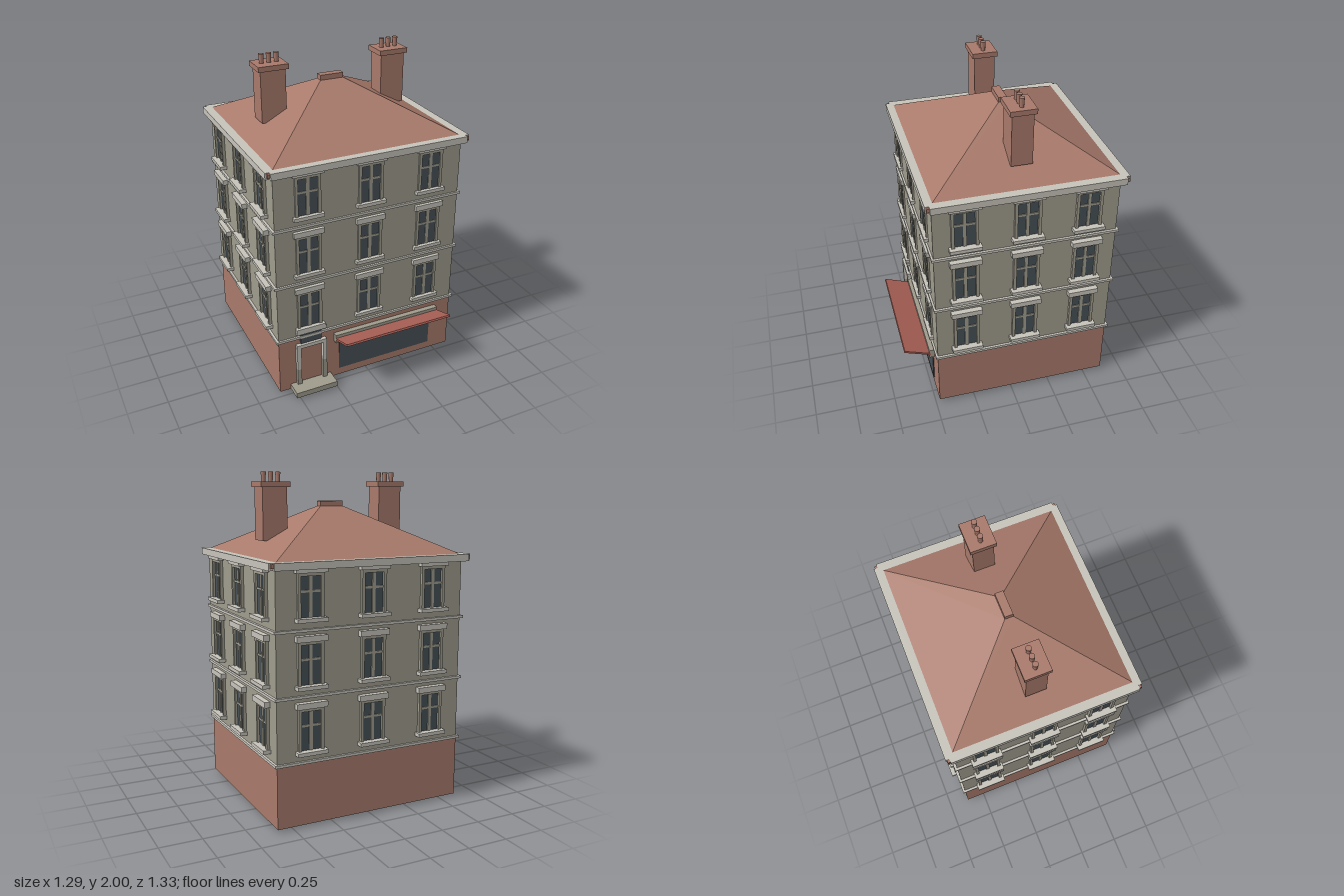
import * as THREE from 'three';

const mat = (name, color) => {
  const m = new THREE.MeshStandardMaterial({ color });
  m.name = name;
  return m;
};

export function createModel() {
  const root = new THREE.Group();
  root.name = 'townhouse';
  const brick = mat('brick', 0xa87a6b);
  const wall = mat('grey render', 0x9f9c8d);
  const trim = mat('pale trim', 0xc6c3ba);
  const glass = mat('dark glass', 0x465056);
  const red = mat('red awning', 0xaa6157);

  // Box given by its min and max on each axis
  const box = (parent, name, material, x0, x1, y0, y1, z0, z1) => {
    const mesh = new THREE.Mesh(new THREE.BoxGeometry(x1 - x0, y1 - y0, z1 - z0), material);
    mesh.position.set((x0 + x1) / 2, (y0 + y1) / 2, (z0 + z1) / 2);
    mesh.name = name;
    parent.add(mesh);
    return mesh;
  };

  const W = 0.6, F = 0.475, B = -0.62, MID = (F + B) / 2;

  // Main storeys
  box(root, 'groundFloor', brick, -W, W, 0.02, 0.385, B, F);
  box(root, 'floorSlab', wall, -W, W, 0.017, 0.02, B, F);
  box(root, 'upperFloors', wall, -W, W, 0.385, 1.5, B, F);
  for (const y of [0.385, 0.765, 1.138]) {
    box(root, 'stringCourse', trim, -W - 0.015, W + 0.015, y, y + 0.016, B - 0.015, F + 0.012);
  }

  // Cornice: four bars with notched corners
  box(root, 'frontCornice', trim, -0.62, 0.62, 1.482, 1.523, 0.45, 0.512);
  box(root, 'backCornice', trim, -0.62, 0.62, 1.482, 1.523, -0.666, -0.6);
  for (const s of [-1, 1]) {
    const a = s * 0.585, b = s * 0.645;
    box(root, 'sideCornice', trim, Math.min(a, b), Math.max(a, b), 1.482, 1.523, -0.642, 0.488);
    for (const z of [-0.65, 0.496]) {
      box(root, 'corniceCorner', brick, s * 0.628 - 0.008, s * 0.628 + 0.008, 1.495, 1.518, z - 0.008, z + 0.008);
    }
  }

  // Hipped roof: a box whose top corners move in to the ridge
  const roofGeo = new THREE.BoxGeometry(1, 1, 1);
  const p = roofGeo.attributes.position;
  for (let i = 0; i < p.count; i++) {
    const top = p.getY(i) > 0;
    const sx = Math.sign(p.getX(i)), sz = Math.sign(p.getZ(i));
    p.setXYZ(i, sx * (top ? 0.075 : 0.593), top ? 1.797 : 1.522, -0.075 + sz * (top ? 0.025 : 0.541));
  }
  roofGeo.computeVertexNormals();
  const roof = new THREE.Mesh(roofGeo, brick);
  roof.name = 'roof';
  root.add(roof);
  box(root, 'ridgeCap', brick, -0.075, 0.075, 1.79, 1.828, -0.1, -0.05);

  // Chimneys with three pots each
  const potGeo = new THREE.CylinderGeometry(0.017, 0.013, 0.058, 8);
  for (const s of [-1, 1]) {
    const chimney = new THREE.Group();
    chimney.name = 'chimney';
    chimney.position.set(s * 0.39, 0, -0.073);
    box(chimney, 'chimneyStack', brick, -0.078, 0.078, 1.6, 1.915, -0.063, 0.063);
    box(chimney, 'chimneyCap', brick, -0.093, 0.093, 1.913, 1.944, -0.077, 0.077);
    for (const x of [-0.046, 0, 0.046]) {
      const pot = new THREE.Mesh(potGeo, brick);
      pot.name = 'chimneyPot';
      pot.position.set(x, 1.971, 0);
      chimney.add(pot);
    }
    root.add(chimney);
  }

  // One sash window, facing +z, from its sill upward
  const makeWindow = () => {
    const g = new THREE.Group();
    g.name = 'window';
    box(g, 'pane', glass, -0.062, 0.062, 0.02, 0.255, 0, 0.004);
    box(g, 'mullion', wall, -0.01, 0.01, 0.02, 0.255, 0, 0.01);
    box(g, 'crossBar', wall, -0.062, 0.062, 0.16, 0.173, 0, 0.009);
    for (const s of [-1, 1]) box(g, 'jamb', wall, s * 0.07 - 0.009, s * 0.07 + 0.009, 0.02, 0.268, 0, 0.018);
    box(g, 'head', wall, -0.063, 0.063, 0.25, 0.268, 0, 0.018);
    box(g, 'sill', trim, -0.094, 0.094, 0, 0.022, 0, 0.045);
    box(g, 'lintel', trim, -0.094, 0.094, 0.268, 0.302, 0, 0.034);
    return g;
  };

  // Three rows of three windows on every face; the front ones are shallower
  const faces = [
    { name: 'frontWindows', pos: [0, 0, F], turn: 0, step: 0.395, depth: 0.6 },
    { name: 'backWindows', pos: [0, 0, B], turn: Math.PI, step: 0.395, depth: 1 },
    { name: 'leftWindows', pos: [W, 0, MID], turn: Math.PI / 2, step: 0.365, depth: 1 },
    { name: 'rightWindows', pos: [-W, 0, MID], turn: -Math.PI / 2, step: 0.365, depth: 1 },
  ];
  for (const f of faces) {
    const side = new THREE.Group();
    side.name = f.name;
    side.position.set(...f.pos);
    side.rotation.y = f.turn;
    side.scale.z = f.depth;
    for (let row = 0; row < 3; row++) {
      for (let col = -1; col <= 1; col++) {
        const w = makeWindow();
        w.position.set(col * f.step, 0.44 + row * 0.377, 0);
        side.add(w);
      }
    }
    root.add(side);
  }

  // Shop front
  box(root, 'shopWindow', glass, -0.2, 0.452, 0.07, 0.3, F, F + 0.006);
  box(root, 'awningBox', wall, -0.235, 0.49, 0.292, 0.35, F, F + 0.032);
  const awning = new THREE.Mesh(new THREE.BoxGeometry(0.725, 0.013, 0.175), red);
  awning.name = 'awning';
  awning.position.set(0.1275, 0.349, 0.58);
  awning.rotation.x = -0.36;
  root.add(awning);

  // Doorway: step, two-tone posts, beam, fanlight and hood
  box(root, 'doorStep', wall, -0.53, -0.258, 0.018, 0.054, F - 0.005, 0.576);
  for (const [x0, x1, split] of [[-0.49, -0.463, 0.165], [-0.318, -0.292, 0.19]]) {
    box(root, 'postBase', wall, x0, x1, 0, split, F - 0.01, F + 0.025);
    box(root, 'postTop', trim, x0, x1, split, 0.323, F - 0.01, F + 0.025);
  }
  box(root, 'doorBeam', trim, -0.488, -0.294, 0.32, 0.344, F - 0.01, F + 0.025);
  box(root, 'fanlight', glass, -0.46, -0.322, 0.344, 0.422, F, F + 0.009);
  box(root, 'fanlightBar', trim, -0.46, -0.322, 0.385, 0.4, F, F + 0.013);
  box(root, 'doorHood', trim, -0.49, -0.292, 0.42, 0.442, F, F + 0.022);

  return root;
}
